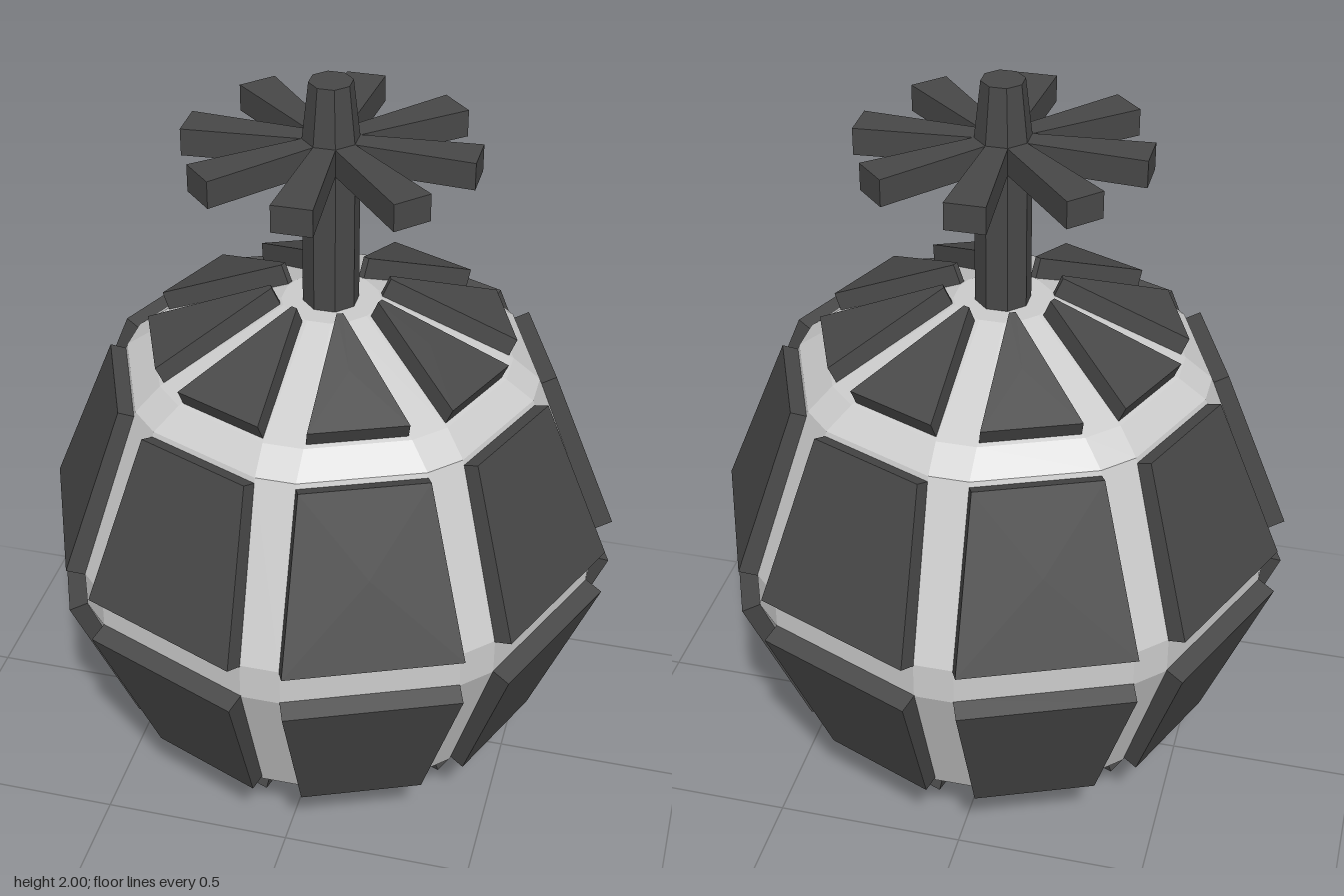
import * as THREE from 'three';

const light = new THREE.MeshStandardMaterial({ color: 0xcccccc, flatShading: true });
const dark = new THREE.MeshStandardMaterial({ color: 0x484848, flatShading: true });

// Skin a stack of equal-length rings of [x, y, z] points and close both ends
function loft(rings) {
  const n = rings[0].length;
  const centre = (ring) => [0, 1, 2].map((k) => ring.reduce((s, p) => s + p[k], 0) / n);
  const out = [];
  const tri = (a, b, c) => out.push(...a, ...b, ...c);
  const first = rings[0], last = rings[rings.length - 1];
  const c0 = centre(first), c1 = centre(last);
  for (let j = 0; j < n; j++) {
    const k = (j + 1) % n;
    for (let i = 0; i < rings.length - 1; i++) {
      tri(rings[i][j], rings[i + 1][j], rings[i + 1][k]);
      tri(rings[i][j], rings[i + 1][k], rings[i][k]);
    }
    tri(c0, first[j], first[k]);
    tri(c1, last[k], last[j]);
  }
  const g = new THREE.BufferGeometry();
  g.setAttribute('position', new THREE.Float32BufferAttribute(out, 3));
  g.computeVertexNormals();
  return g;
}

function add(parent, name, geometry, material) {
  const mesh = new THREE.Mesh(geometry, material);
  mesh.name = name;
  parent.add(mesh);
  return mesh;
}

// Octagonal ring with a flat strip of half width h at each corner
function stripRing(r, y, h) {
  const ring = [];
  for (let k = 0; k < 8; k++) {
    const c = Math.cos(k * Math.PI / 4), s = Math.sin(k * Math.PI / 4);
    for (const t of [-h, h]) ring.push([r * c - t * s, y, r * s + t * c]);
  }
  return ring;
}

// Raised panel facing +x: lower edge, upper edge given as [distance, y, halfWidth]
function panel([a0, y0, w0], [a1, y1, w1], depth) {
  const len = Math.hypot(a0 - a1, y1 - y0);
  const nx = (y1 - y0) / len, ny = (a0 - a1) / len;
  const ring = (d) => [
    [a1 - nx * d, y1 - ny * d, w1], [a1 - nx * d, y1 - ny * d, -w1],
    [a0 - nx * d, y0 - ny * d, -w0], [a0 - nx * d, y0 - ny * d, w0],
  ];
  return loft([ring(depth), ring(0)]);
}

export function createModel() {
  const root = new THREE.Group();
  const MID = 0.73;

  // Light inner body, symmetric about its equator
  const upper = [[0.7, 0.78, 0.05], [0.53, 1.22, 0.05], [0.46, 1.272, 0.05], [0.12, 1.41, 0.03]];
  const lower = upper.map(([r, y, h]) => [r, 2 * MID - y, h]).reverse();
  add(root, 'body', loft([...lower, ...upper].map((p) => stripRing(...p))), light);

  // Small foot disc underneath
  const foot = add(root, 'foot', new THREE.CylinderGeometry(0.125, 0.125, 0.06, 8), light);
  foot.position.y = 0.03;
  foot.rotation.y = Math.PI / 8;

  // Dark panels: one shell half, then the same half turned over
  const sidePanel = panel([0.713, 0.795, 0.223], [0.552, 1.222, 0.158], 0.055);
  const capPanel = panel([0.453, 1.32, 0.123], [0.15, 1.455, 0.008], 0.055);
  for (const half of ['upper', 'lower']) {
    const shell = new THREE.Group();
    shell.name = half + 'Panels';
    for (let k = 0; k < 8; k++) {
      const angle = (k + 0.5) * Math.PI / 4;
      add(shell, 'sidePanel', sidePanel, dark).rotation.y = angle;
      add(shell, 'capPanel', capPanel, dark).rotation.y = angle;
    }
    if (half === 'lower') {
      shell.rotation.x = Math.PI;
      shell.position.y = 2 * MID;
    }
    root.add(shell);
  }

  // Stem with tapered tip
  const stem = add(root, 'stem', new THREE.CylinderGeometry(0.071, 0.071, 0.47, 8), dark);
  stem.position.y = 1.615;
  const tip = add(root, 'stemTip', new THREE.CylinderGeometry(0.054, 0.071, 0.15, 8), dark);
  tip.position.y = 1.925;
  stem.rotation.y = tip.rotation.y = Math.PI / 8;

  // Eight flared arms around the stem
  const armRing = (y) => [[0.36, y, -0.05], [0.36, y, 0.05], [0.02, y, 0.024], [0.02, y, -0.024]];
  const arm = loft([armRing(1.785), armRing(1.855)]);
  const wheel = new THREE.Group();
  wheel.name = 'handleWheel';
  for (let k = 0; k < 8; k++) add(wheel, 'arm', arm, dark).rotation.y = k * Math.PI / 4;
  root.add(wheel);

  return root;
}
